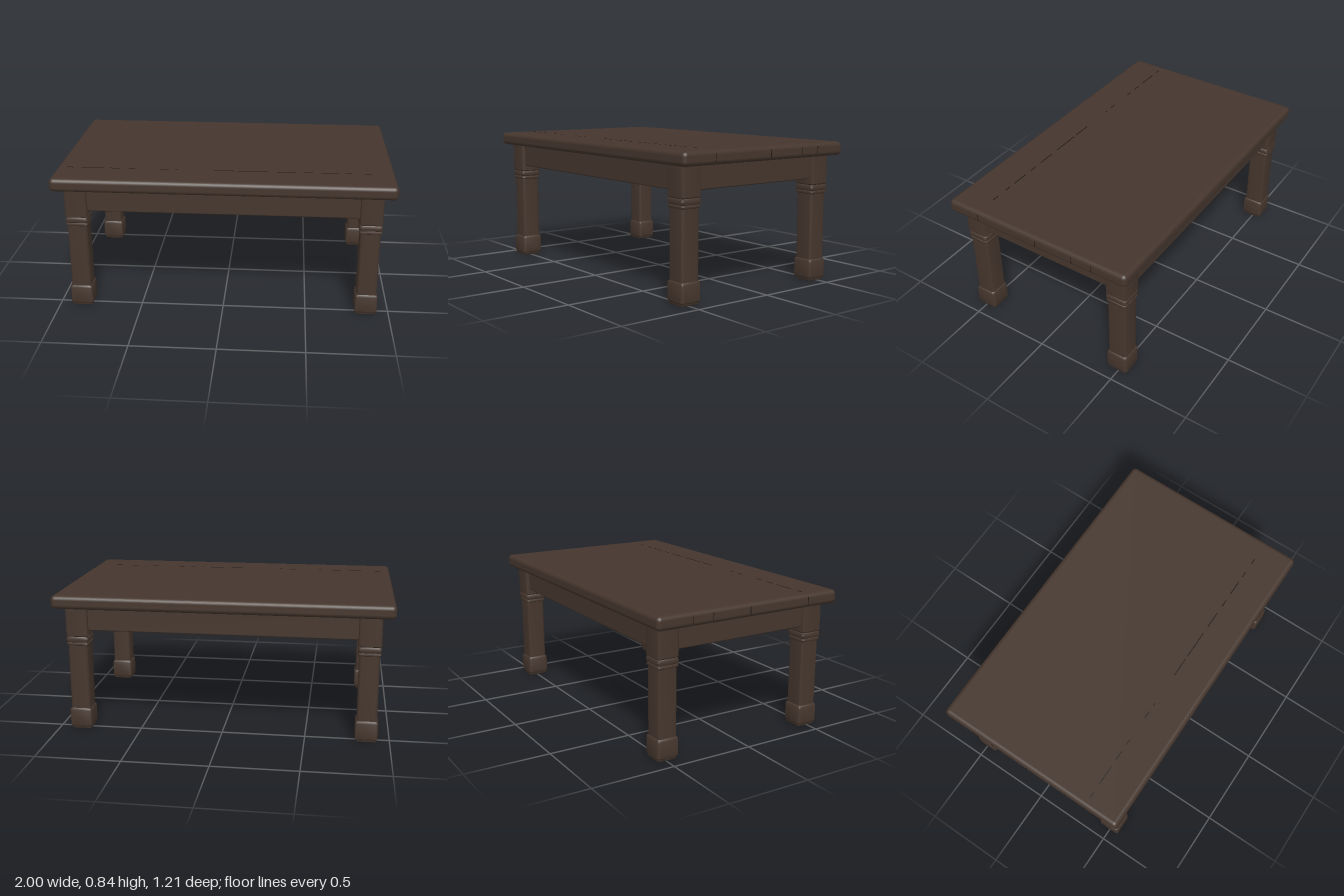
import * as THREE from 'three';
import { toCreasedNormals } from 'three/addons/utils/BufferGeometryUtils.js';
import { RoundedBoxGeometry } from 'three/addons/geometries/RoundedBoxGeometry.js';

const wood = new THREE.MeshStandardMaterial({ color: 0x45362d });
wood.name = 'dark wood';
const gap = new THREE.MeshStandardMaterial({ color: 0x1f1813 });
gap.name = 'plank gap';

function add(parent, name, geometry, material, x = 0, y = 0, z = 0) {
  const mesh = new THREE.Mesh(geometry, material);
  mesh.name = name;
  mesh.position.set(x, y, z);
  parent.add(mesh);
  return mesh;
}

// Square post with rounded corners, turned from a profile of [half width, height]
function squarePost(profile, r = 0.014) {
  const geometry = new THREE.LatheGeometry(profile.map(([h, y]) => new THREE.Vector2(h, y)), 16);
  const pos = geometry.attributes.position;
  const n = profile.length;
  for (let i = 0; i < pos.count; i++) {
    const step = Math.floor(i / n) % 16;
    const h = profile[i % n][0];
    const corner = Math.floor(step / 4);
    const a = (corner + (step % 4) / 3) * Math.PI / 2;
    const mid = (corner + 0.5) * Math.PI / 2;
    const rr = Math.min(r, h);
    pos.setX(i, Math.sign(Math.sin(mid)) * (h - rr) + rr * Math.sin(a));
    pos.setZ(i, Math.sign(Math.cos(mid)) * (h - rr) + rr * Math.cos(a));
  }
  return toCreasedNormals(geometry, 0.6);
}

export function createModel() {
  const table = new THREE.Group();
  table.name = 'table';

  // Thick top with softened edges
  add(table, 'tableTop', new RoundedBoxGeometry(2, 0.08, 1.21, 4, 0.026), wood, 0, 0.8, 0);

  // Four legs: foot block, shaft, double collar and head block
  const legShape = squarePost([
    [0, 0], [0.052, 0], [0.061, 0.006], [0.063, 0.018], [0.067, 0.024],
    [0.067, 0.118], [0.064, 0.128], [0.059, 0.133],
    [0.059, 0.528], [0.064, 0.531], [0.066, 0.538], [0.064, 0.546],
    [0.06, 0.549], [0.065, 0.553], [0.068, 0.566], [0.065, 0.58],
    [0.061, 0.584], [0.067, 0.59], [0.067, 0.77],
  ]);
  for (const x of [-1, 1]) {
    for (const z of [-1, 1]) add(table, 'leg', legShape, wood, x * 0.862, 0, z * 0.492);
  }

  // Apron rails between the legs
  const longRail = new RoundedBoxGeometry(1.62, 0.15, 0.05, 2, 0.008);
  const shortRail = new RoundedBoxGeometry(0.05, 0.15, 0.88, 2, 0.008);
  for (const s of [-1, 1]) {
    add(table, 'longApron', longRail, wood, 0, 0.695, s * 0.512);
    add(table, 'shortApron', shortRail, wood, s * 0.882, 0.695, 0);
  }

  // Broken seam along the top: [start x, end x]
  const seams = [
    [-0.94, -0.9], [-0.85, -0.72], [-0.68, -0.62], [-0.57, -0.53], [-0.38, -0.33],
    [-0.29, -0.27], [-0.06, 0.06], [0.08, 0.26], [0.31, 0.42], [0.47, 0.52],
    [0.57, 0.67], [0.71, 0.75], [0.82, 0.86],
  ];
  for (const [a, b] of seams) {
    add(table, 'topSeam', new THREE.BoxGeometry(b - a, 0.002, 0.006), gap, (a + b) / 2, 0.84, 0.39);
  }

  // Plank joints on the end edges
  const joint = new THREE.BoxGeometry(0.002, 0.045, 0.004);
  for (const s of [-1, 1]) {
    for (const z of [0.39, -0.015, -0.26, -0.39]) add(table, 'endJoint', joint, gap, s, 0.8, z);
  }
  return table;
}
